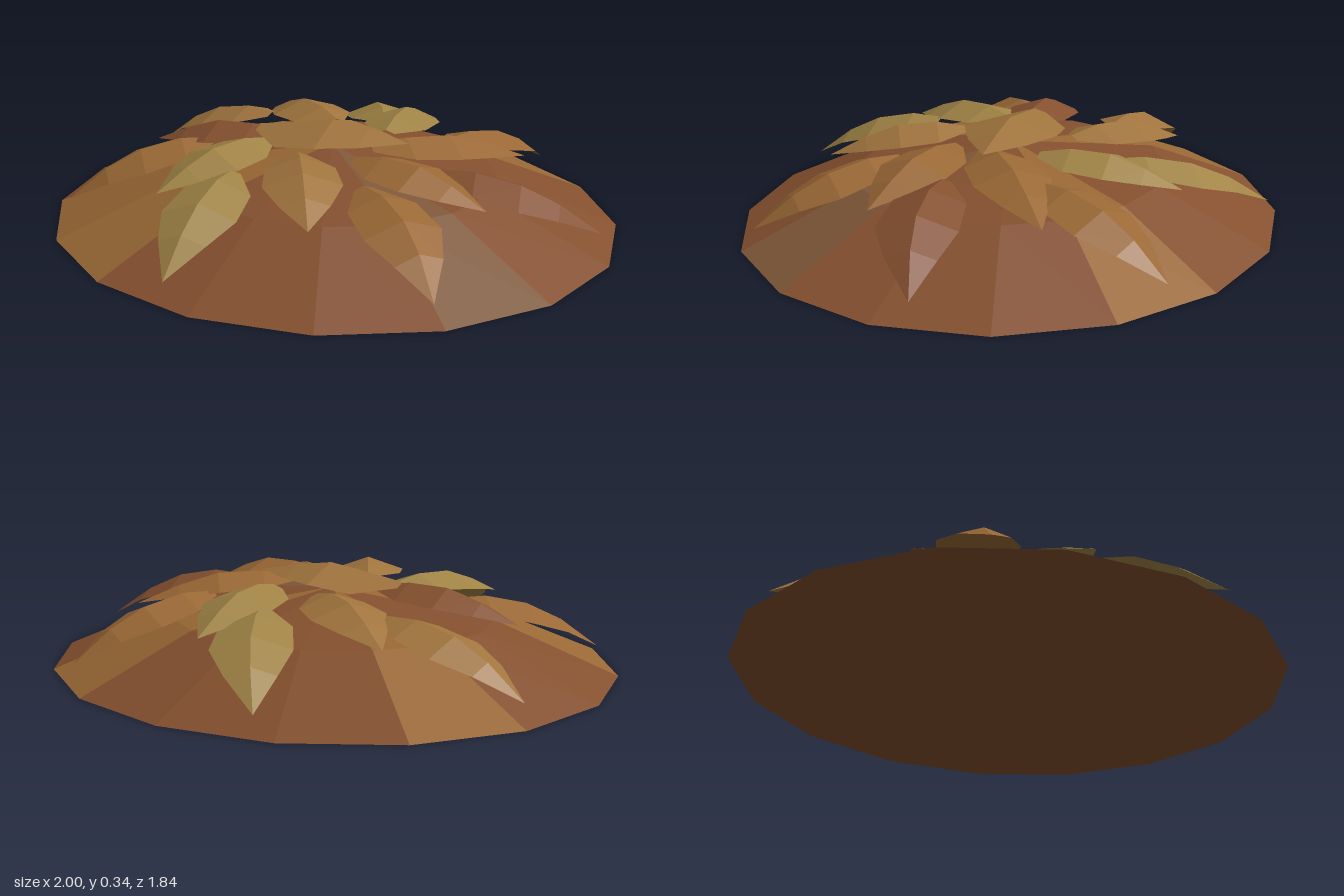
import * as THREE from 'three';

const mat = (color) => new THREE.MeshStandardMaterial({ color, flatShading: true, side: THREE.DoubleSide });
const red = mat(0x85502f), orange = mat(0x9a6835), umber = mat(0x80593a), olive = mat(0xa08345), tan = mat(0xa0743d);

// Leaf blade from base to tip [x, z]: a raised midrib and two drooping sides.
// rib = midrib heights at the five stations, bend = sideways curve of the midrib.
const STATIONS = [0, 0.22, 0.5, 0.74, 1];
const WIDTHS = [0.25, 0.9, 1, 0.62, 0];
function leaf(name, base, tip, rib, material, { width = 0.13, droop = 0.045, bend = 0 } = {}) {
  const b = new THREE.Vector2(...base), axis = new THREE.Vector2(...tip).sub(b);
  const side = new THREE.Vector2(-axis.y, axis.x).normalize();
  const pos = [], index = [];
  STATIONS.forEach((t, i) => {
    const p = b.clone().addScaledVector(axis, t).addScaledVector(side, bend * Math.sin(Math.PI * t));
    for (const s of [-1, 0, 1]) {
      const w = s * width * WIDTHS[i];
      pos.push(p.x + side.x * w, rib[i] - Math.abs(s) * droop * WIDTHS[i], p.y + side.y * w);
    }
    if (i > 0) for (const c of [0, 1]) {
      const a = (i - 1) * 3 + c, d = a + 3;
      index.push(a, a + 1, d, a + 1, d + 1, d);
    }
  });
  // faces wind upwards
  for (let i = 0; i < index.length; i += 3) [index[i + 1], index[i + 2]] = [index[i + 2], index[i + 1]];
  const geo = new THREE.BufferGeometry();
  geo.setAttribute('position', new THREE.Float32BufferAttribute(pos, 3));
  geo.setIndex(index);
  geo.computeVertexNormals();
  const mesh = new THREE.Mesh(geo, material);
  mesh.name = name;
  return mesh;
}

export function createModel() {
  const group = new THREE.Group();
  group.name = 'leafPile';

  // Low mound of sixteen coloured wedges, slightly oval
  const mound = new THREE.Group();
  mound.name = 'mound';
  mound.scale.z = 0.92;
  const profile = [[1, 0], [0.58, 0.17], [0, 0.26]].map(([x, y]) => new THREE.Vector2(x, y));
  const wedges = [red, umber, red, red, red, orange, orange, red, red, orange, red, red, red, orange, red, red];
  const step = Math.PI / 8;
  wedges.forEach((m, k) => {
    const wedge = new THREE.Mesh(new THREE.LatheGeometry(profile, 1, Math.PI / 2 - step * (k + 1), step), m);
    wedge.name = 'moundWedge';
    mound.add(wedge);
  });
  const floor = new THREE.Mesh(new THREE.CircleGeometry(1, 16).rotateX(Math.PI / 2), red);
  floor.name = 'moundUnderside';
  mound.add(floor);
  group.add(mound);

  // Outer ring of leaves, drooping to the rim
  const outerRib = [0.25, 0.255, 0.225, 0.165, 0.065];
  const outer = [
    [[0.43, 0.05], [0.94, -0.1], red, 0.03],
    [[0.27, 0.3], [0.66, 0.63], orange, -0.02],
    [[-0.18, 0.37], [-0.12, 0.87], olive, 0],
    [[-0.42, 0.11], [-0.8, 0.46], orange, 0],
    [[-0.38, -0.24], [-0.89, -0.3], tan, 0],
    [[0.03, -0.36], [-0.3, -0.84], olive, 0.02],
    [[0.33, -0.25], [0.52, -0.74], orange, 0],
  ];
  for (const [base, tip, m, bend] of outer) group.add(leaf('outerLeaf', base, tip, outerRib, m, { bend }));

  // Inner ring of leaves, lying higher
  const innerRib = [0.28, 0.3, 0.295, 0.255, 0.195];
  const inner = [
    [[0.16, 0.14], [0.65, 0.2], orange],
    [[-0.03, 0.19], [0.23, 0.6], tan],
    [[-0.2, 0.1], [-0.36, 0.55], olive],
    [[-0.18, 0.03], [-0.68, 0.08], red],
    [[-0.08, -0.19], [-0.49, -0.45], tan],
    [[0.13, -0.16], [0.07, -0.64], olive],
    [[0.16, 0.02], [0.58, -0.36], orange],
  ];
  for (const [base, tip, m] of inner) group.add(leaf('innerLeaf', base, tip, innerRib, m));

  // Crown leaf across the top
  group.add(leaf('crownLeaf', [-0.27, 0.03], [0.28, -0.02], [0.3, 0.32, 0.345, 0.325, 0.295], tan, { width: 0.17, droop: 0.05 }));
  return group;
}
